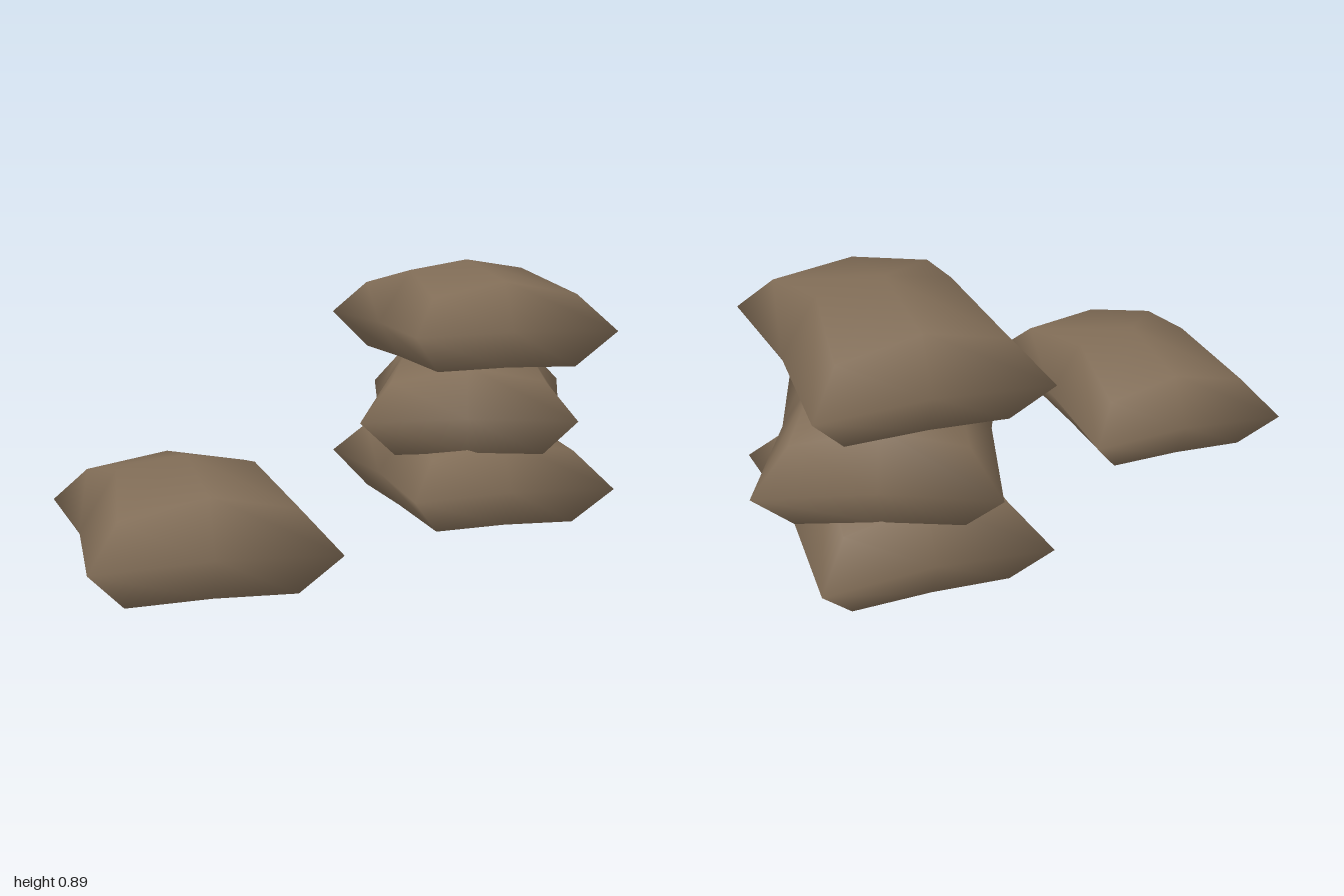
import * as THREE from 'three';

const burlap = new THREE.MeshStandardMaterial({ color: 0x806c56, side: THREE.DoubleSide });
burlap.name = 'brown burlap';

// Eight directions round the sack: corners alternate with edge middles
const AROUND = [[1, 1], [0, 1], [-1, 1], [-1, 0], [-1, -1], [0, -1], [1, -1], [1, 0]];

// Each ring: corner [x, y, z], side middle [x, y], end middle [z, y]
const RINGS = [
  { corner: [0.25, 0, 0.39], side: [0.25, 0.005], end: [0.385, 0.005] },      // open hem
  { corner: [0.36, 0.127, 0.483], side: [0.328, 0.13], end: [0.448, 0.13] },  // pinched seam
  { corner: [0.26, 0.245, 0.37], side: [0.213, 0.313], end: [0.358, 0.293] }, // shoulder
];
const CROWN = 0.347;

// Pillow shell lofted through the rings and closed at the crown
function sackGeometry() {
  const positions = [];
  const index = [];
  for (const { corner, side, end } of RINGS) {
    for (const [sx, sz] of AROUND) {
      if (sx && sz) positions.push(sx * corner[0], corner[1], sz * corner[2]);
      else if (sx) positions.push(sx * side[0], side[1], 0);
      else positions.push(0, end[1], sz * end[0]);
    }
  }
  const top = positions.length / 3;
  positions.push(0, CROWN, 0);
  for (let i = 0; i < 8; i++) {
    const j = (i + 1) % 8;
    for (let r = 0; r < RINGS.length - 1; r++) {
      const a = r * 8, b = a + 8;
      index.push(a + i, b + i, b + j, a + i, b + j, a + j);
    }
    const s = (RINGS.length - 1) * 8;
    index.push(s + i, top, s + j);
  }
  const geometry = new THREE.BufferGeometry();
  geometry.setAttribute('position', new THREE.Float32BufferAttribute(positions, 3));
  geometry.setIndex(index);
  geometry.computeVertexNormals();
  return geometry;
}

export function createModel() {
  const group = new THREE.Group();
  group.name = 'sackPile';
  const geometry = sackGeometry();

  function addSack(name, position, turn = 0, tilt = 0) {
    const sack = new THREE.Mesh(geometry, burlap);
    sack.name = name;
    sack.position.set(...position);
    sack.rotation.set(0, turn, tilt, 'ZYX');
    group.add(sack);
  }

  // One loose sack beside a stack of three
  addSack('looseSack', [-0.64, 0, 0.33]);
  addSack('bottomSack', [0.486, 0, -0.23]);
  addSack('middleSack', [0.496, 0.256, -0.23], -0.36, 0.02);
  addSack('topSack', [0.486, 0.543, -0.23]);
  return group;
}
